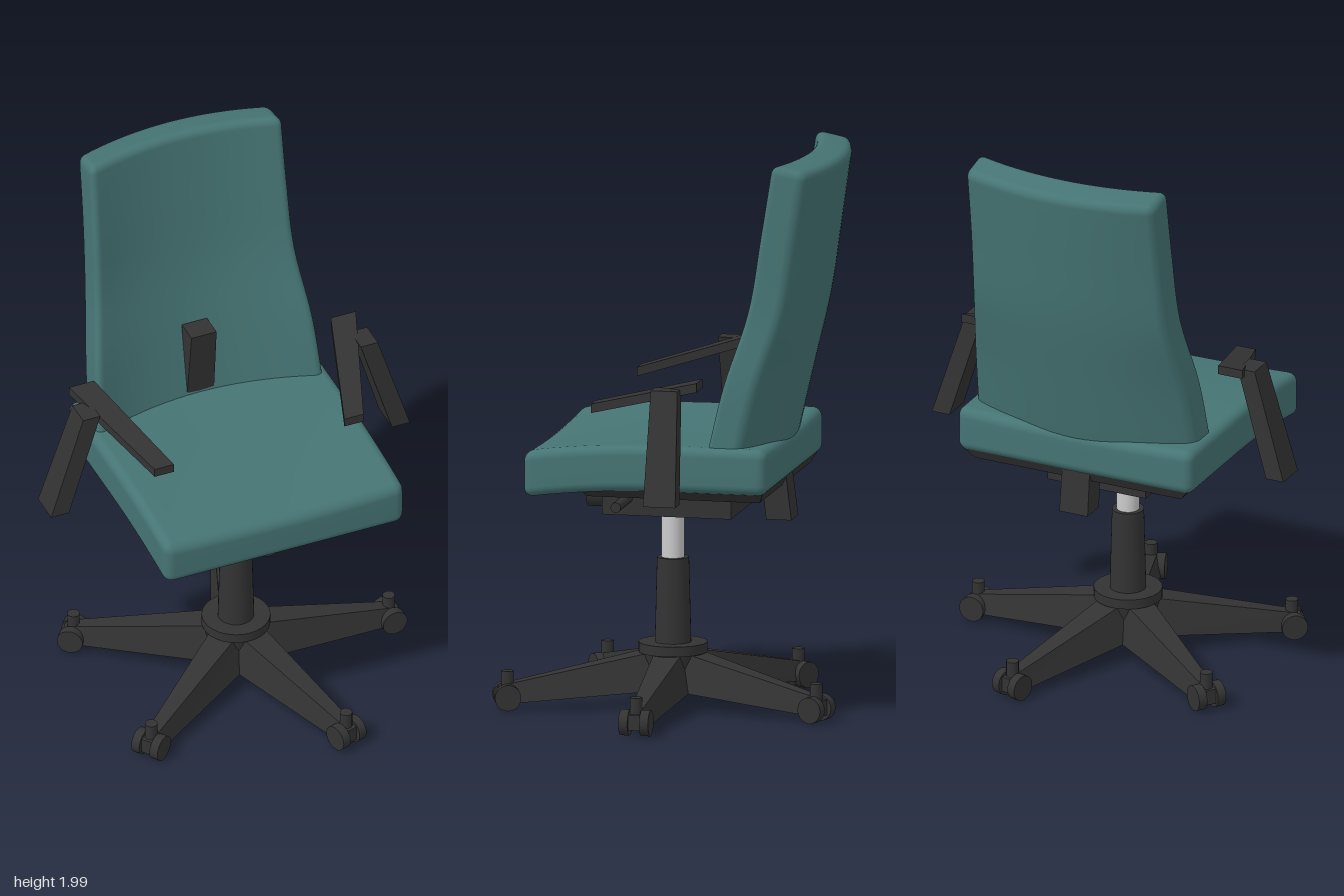
import * as THREE from 'three';
import { mergeVertices } from 'three/addons/utils/BufferGeometryUtils.js';

const fabric = new THREE.MeshStandardMaterial({ color: 0x467474 });
const plastic = new THREE.MeshStandardMaterial({ color: 0x333333 });
const steel = new THREE.MeshStandardMaterial({ color: 0xcccccc });

function add(parent, name, geometry, material, x = 0, y = 0, z = 0) {
  const mesh = new THREE.Mesh(geometry, material);
  mesh.name = name;
  mesh.position.set(x, y, z);
  parent.add(mesh);
  return mesh;
}

// Upright cylinder between two heights
function column(parent, name, rTop, rBottom, y0, y1, material) {
  return add(parent, name, new THREE.CylinderGeometry(rTop, rBottom, y1 - y0, 32), material, 0, (y0 + y1) / 2, 0);
}

// Box stretched from point a to point b along an axis, with its own cross-section at each end
function bar(axis, a, b, sizeA, sizeB, topScale = 1) {
  const geo = new THREE.BoxGeometry(1, 1, 1);
  const pos = geo.attributes.position;
  for (let i = 0; i < pos.count; i++) {
    const p = [pos.getX(i), pos.getY(i), pos.getZ(i)];
    const t = p[axis] + 0.5;
    const q = p.map((v, k) => {
      const half = k === axis ? 0 : v * THREE.MathUtils.lerp(sizeA[k], sizeB[k], t);
      return THREE.MathUtils.lerp(a[k], b[k], t) + half * (k === 2 && p[1] > 0 ? topScale : 1);
    });
    pos.setXYZ(i, ...q);
  }
  geo.computeVertexNormals();
  return geo;
}

// Finely divided cushion with rounded edges, then bent by a rule
function cushion(size, r, mids, warp) {
  const k = 4;
  const n = mids.map((m) => m + 2 * k);
  let geo = new THREE.BoxGeometry(1, 1, 1, ...n);
  geo.deleteAttribute('uv');
  geo.deleteAttribute('normal');
  const pos = geo.attributes.position;
  const v = new THREE.Vector3(), inner = new THREE.Vector3();
  for (let i = 0; i < pos.count; i++) {
    v.fromBufferAttribute(pos, i);
    ['x', 'y', 'z'].forEach((c, a) => {
      const h = size[a] / 2, j = Math.round((v[c] + 0.5) * n[a]);
      if (j <= k) v[c] = -h + (r * j) / k;
      else if (j >= n[a] - k) v[c] = h - (r * (n[a] - j)) / k;
      else v[c] = (h - r) * ((2 * (j - k)) / mids[a] - 1);
      inner[c] = THREE.MathUtils.clamp(v[c], r - h, h - r);
    });
    v.sub(inner).setLength(r).add(inner);
    warp(v);
    pos.setXYZ(i, v.x, v.y, v.z);
  }
  geo = mergeVertices(geo, 1e-5);
  geo.computeVertexNormals();
  return geo;
}

export function createModel() {
  const chair = new THREE.Group();
  chair.name = 'officeChair';

  // Seat: front lip droops, top slightly dished
  add(chair, 'seat', cushion([0.91, 0.165, 0.87], 0.035, [16, 2, 16], (v) => {
    const front = Math.max(0, v.z + 0.05) / 0.48;
    if (v.y > 0) v.y -= 0.012 * (1 - (v.x / 0.455) ** 2);
    v.y += 0.925 - 0.037 * front * front;
  }), fabric);

  // Backrest: half width, rear position and bow at evenly spaced heights
  const profile = new THREE.CatmullRomCurve3([
    [0.43, -0.425, 0.1], [0.413, -0.485, 0.1], [0.38, -0.543, 0.075],
    [0.369, -0.581, 0.07], [0.365, -0.615, 0.062],
  ].map((p) => new THREE.Vector3(...p)), false, 'catmullrom');
  const thick = 0.126;
  add(chair, 'backrest', cushion([0.8, 1.035, thick], 0.03, [18, 22, 2], (v) => {
    const t = THREE.MathUtils.clamp((v.y + 0.5175) / 1.035, 0, 1);
    const p = profile.getPoint(t);
    const u = v.x / 0.4;
    v.x = u * p.x;
    v.y += 1.4725 + v.z * 0.2 * t;
    v.z += p.y + thick / 2 + p.z * u * u;
  }), fabric);

  // Slanted bar carrying the backrest
  add(chair, 'backSupportBar', bar(1, [0, 0.69, -0.39], [0, 1.265, -0.322],
    [0.11, 0, 0.09], [0.095, 0, 0.085]), plastic);

  // Seat pan, mechanism, knob and lever
  add(chair, 'seatPan', bar(1, [0, 0.812, -0.09], [0, 0.85, -0.09],
    [0.8, 0, 0.62], [0.86, 0, 0.66]), plastic);
  add(chair, 'tiltMechanism', new THREE.BoxGeometry(0.38, 0.11, 0.46), plastic, 0, 0.765, -0.02);
  add(chair, 'tensionKnob', new THREE.CylinderGeometry(0.052, 0.052, 0.1, 24), plastic, 0, 0.755, 0.25)
    .rotation.x = Math.PI / 2;
  add(chair, 'heightLever', new THREE.CylinderGeometry(0.018, 0.018, 0.22, 16), plastic, 0.265, 0.77, 0.12)
    .rotation.z = Math.PI / 2;

  // Armrests
  for (const s of [1, -1]) {
    const arm = new THREE.Group();
    arm.name = s > 0 ? 'leftArmrest' : 'rightArmrest';
    add(arm, 'armPad', bar(2, [s * 0.497, 1.238, -0.207], [s * 0.36, 1.122, 0.203],
      [0.095, 0.032, 0], [0.073, 0.032, 0]), plastic);
    add(arm, 'armPost', bar(1, [s * 0.647, 0.835, -0.105], [s * 0.527, 1.225, -0.095],
      [0.068, 0, 0.115], [0.065, 0, 0.095]), plastic);
    chair.add(arm);
  }

  // Gas lift and hub
  column(chair, 'gasPiston', 0.04, 0.04, 0.5, 0.72, steel);
  column(chair, 'gasLiftSleeve', 0.056, 0.064, 0.22, 0.535, plastic);
  column(chair, 'hubCollar', 0.12, 0.12, 0.2, 0.235, plastic);
  column(chair, 'hub', 0.115, 0.09, 0.075, 0.2, plastic);

  // Five legs with twin-wheel casters
  for (let i = 0; i < 5; i++) {
    const leg = new THREE.Group();
    leg.name = 'leg' + (i + 1);
    add(leg, 'legArm', bar(0, [0.05, 0.143, 0], [0.58, 0.062, 0],
      [0, 0.136, 0.17], [0, 0.068, 0.07], 0.6), plastic);
    add(leg, 'casterStem', new THREE.CylinderGeometry(0.022, 0.022, 0.09, 16), plastic, 0.58, 0.095, 0);
    add(leg, 'casterBlock', new THREE.BoxGeometry(0.06, 0.055, 0.06), plastic, 0.582, 0.055, 0);
    for (const s of [1, -1]) {
      add(leg, 'casterWheel', new THREE.CylinderGeometry(0.046, 0.046, 0.032, 20), plastic, 0.582, 0.051, s * 0.037)
        .rotation.x = Math.PI / 2;
    }
    leg.rotation.y = (i * Math.PI * 2) / 5;
    chair.add(leg);
  }
  return chair;
}
